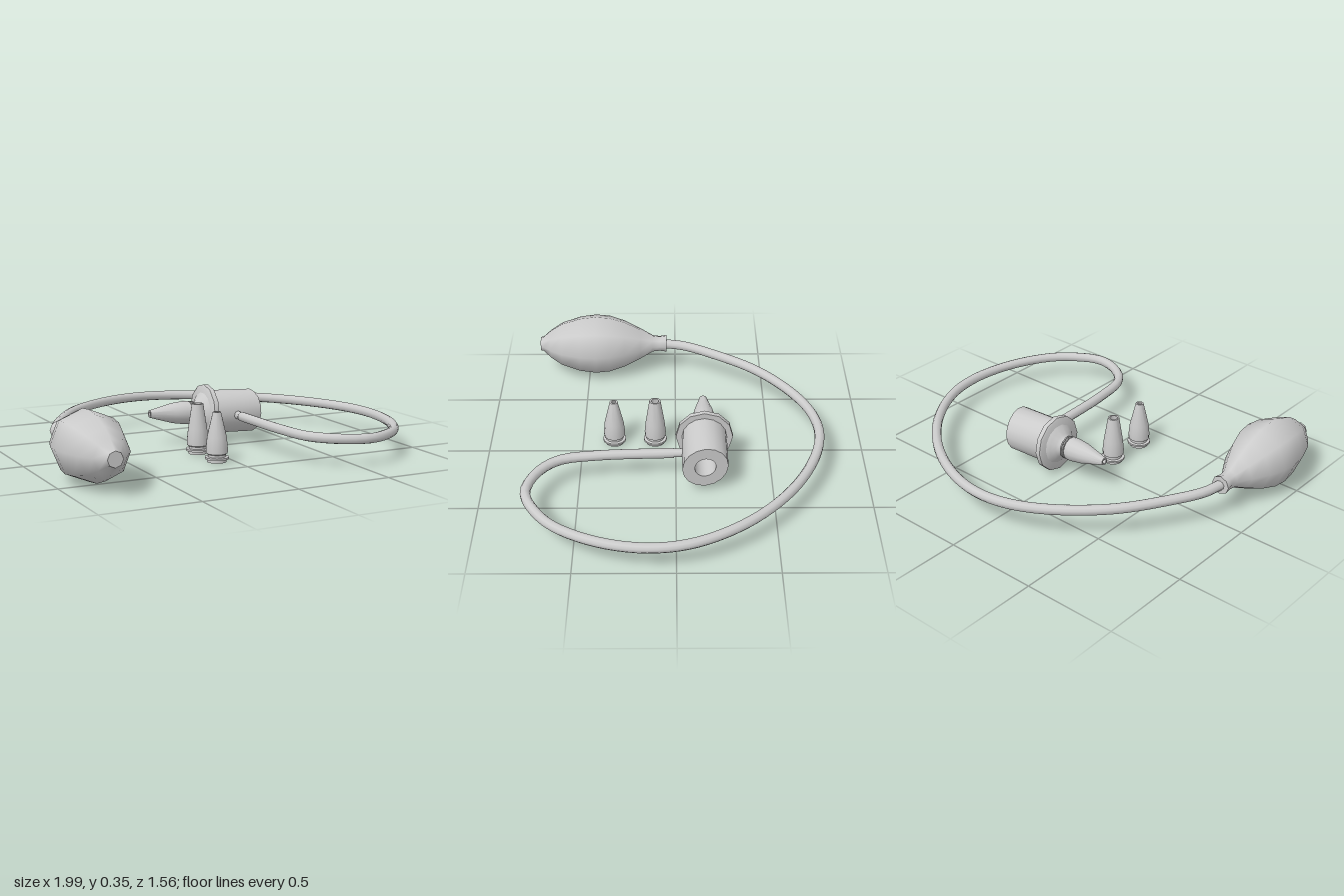
import * as THREE from 'three';
import { toCreasedNormals } from 'three/addons/utils/BufferGeometryUtils.js';

const material = new THREE.MeshStandardMaterial({ color: 0xcccccc, side: THREE.DoubleSide });

function add(parent, name, geometry) {
  const mesh = new THREE.Mesh(geometry, material);
  mesh.name = name;
  parent.add(mesh);
  return mesh;
}

// Profile points are [radius, distance along the axis]
function lathe(profile, sides) {
  return new THREE.LatheGeometry(profile.map(([r, d]) => new THREE.Vector2(r, d)), sides);
}

// Hollow tapered tip standing on its grooved base
function tipGeometry(tipRadius, height) {
  const wall = 0.009;
  return toCreasedNormals(lathe([
    [0.042, 0.03], [0.042, 0], [0.05, 0], [0.05, 0.014], [0.062, 0.016], [0.062, 0.026],
    [0.047, 0.028], [0.047, 0.04], [0.056, 0.046], [0.057, 0.07], [0.051, 0.13],
    [tipRadius, height], [tipRadius - wall, height], [0.04, 0.12], [0.042, 0.03],
  ], 14), 0.6);
}

export function createModel() {
  const model = new THREE.Group();
  model.name = 'handPumpSet';

  // Squeeze bulb lying along z, with a short collar at the hose end
  const bulb = lathe([
    [0, 0.05], [0.05, 0.05], [0.044, 0.09], [0.049, 0.13], [0.09, 0.2], [0.137, 0.29],
    [0.167, 0.38], [0.175, 0.46], [0.163, 0.55], [0.128, 0.655], [0.085, 0.72],
    [0.043, 0.765], [0.04, 0.78], [0, 0.78],
  ], 8);
  bulb.rotateX(Math.PI / 2);
  add(model, 'squeezeBulb', toCreasedNormals(bulb, 0.9)).position.set(-0.825, 0.18, 0);

  // Hose looping from the bulb round to the head, sinking gently towards +x
  const path = [
    [-0.825, 0.07], [-0.8, -0.05], [-0.715, -0.21], [-0.555, -0.44], [-0.34, -0.625],
    [-0.13, -0.73], [0.06, -0.757], [0.27, -0.715], [0.54, -0.575], [0.78, -0.35],
    [0.93, -0.09], [0.967, 0.13], [0.925, 0.37], [0.81, 0.59], [0.68, 0.7], [0.55, 0.75],
    [0.395, 0.705], [0.29, 0.6], [0.25, 0.4], [0.23, 0.01],
  ].map(([x, z]) => new THREE.Vector3(x, 0.155 - 0.028 * x, z));
  const curve = new THREE.CatmullRomCurve3(path, false, 'centripetal');
  add(model, 'hose', new THREE.TubeGeometry(curve, 90, 0.026, 10));
  const hoseEnd = new THREE.CircleGeometry(0.026, 10);
  hoseEnd.rotateY(Math.PI);
  add(model, 'hoseEnd', hoseEnd).position.copy(path[path.length - 1]);

  // Head: barrel, flange and tapered socket, tilted slightly
  const head = new THREE.Group();
  head.name = 'head';
  head.position.set(0, 0.164, -0.15);
  head.rotation.z = -0.046;
  model.add(head);

  const barrel = lathe([
    [0.118, 0.09], [0.118, 0.358], [0.055, 0.358], [0.055, 0.12], [0, 0.12],
  ], 16);
  barrel.rotateZ(-Math.PI / 2);
  // Slant the open end of the barrel
  const pos = barrel.attributes.position;
  for (let i = 0; i < pos.count; i++) {
    if (pos.getX(i) > 0.3) pos.setX(i, pos.getX(i) + 0.13 * pos.getZ(i));
  }
  add(head, 'barrel', toCreasedNormals(barrel, 0.6));

  const flange = lathe([
    [0, 0.068], [0.14, 0.068], [0.15, 0.074], [0.15, 0.1], [0.115, 0.1],
  ], 12);
  flange.rotateZ(-Math.PI / 2);
  add(head, 'flange', toCreasedNormals(flange, 0.6));

  const socket = lathe([
    [0, -0.02], [0.046, -0.02], [0.046, -0.009], [0.062, -0.009], [0.062, -0.002],
    [0.046, -0.002], [0.046, 0.003], [0.062, 0.003], [0.062, 0.01], [0.048, 0.01],
    [0.052, 0.022], [0.065, 0.037], [0.09, 0.054], [0.108, 0.07],
  ], 14);
  socket.rotateZ(-Math.PI / 2);
  add(head, 'socket', toCreasedNormals(socket, 0.6));

  // Tip fitted on the head, pointing to -x
  const nozzle = lathe([
    [0, -0.015], [0.062, -0.015], [0.062, -0.045], [0.054, -0.11],
    [0.02, -0.242], [0.012, -0.242], [0.03, -0.13], [0, -0.13],
  ], 14);
  nozzle.rotateZ(-Math.PI / 2);
  add(head, 'fittedTip', toCreasedNormals(nozzle, 0.6));

  // Hose connector on the side of the barrel
  const connector = new THREE.CylinderGeometry(0.022, 0.022, 0.08, 10);
  connector.rotateX(Math.PI / 2);
  add(model, 'hoseConnector', connector).position.set(0.23, 0.149, -0.015);

  // Two spare tips standing beside the head
  [[0.11, 0.03, 0.263], [0.33, 0.021, 0.257]].forEach(([z, radius, height], i) => {
    add(model, 'spareTip' + (i + 1), tipGeometry(radius, height)).position.set(-0.085, 0, z);
  });

  return model;
}
